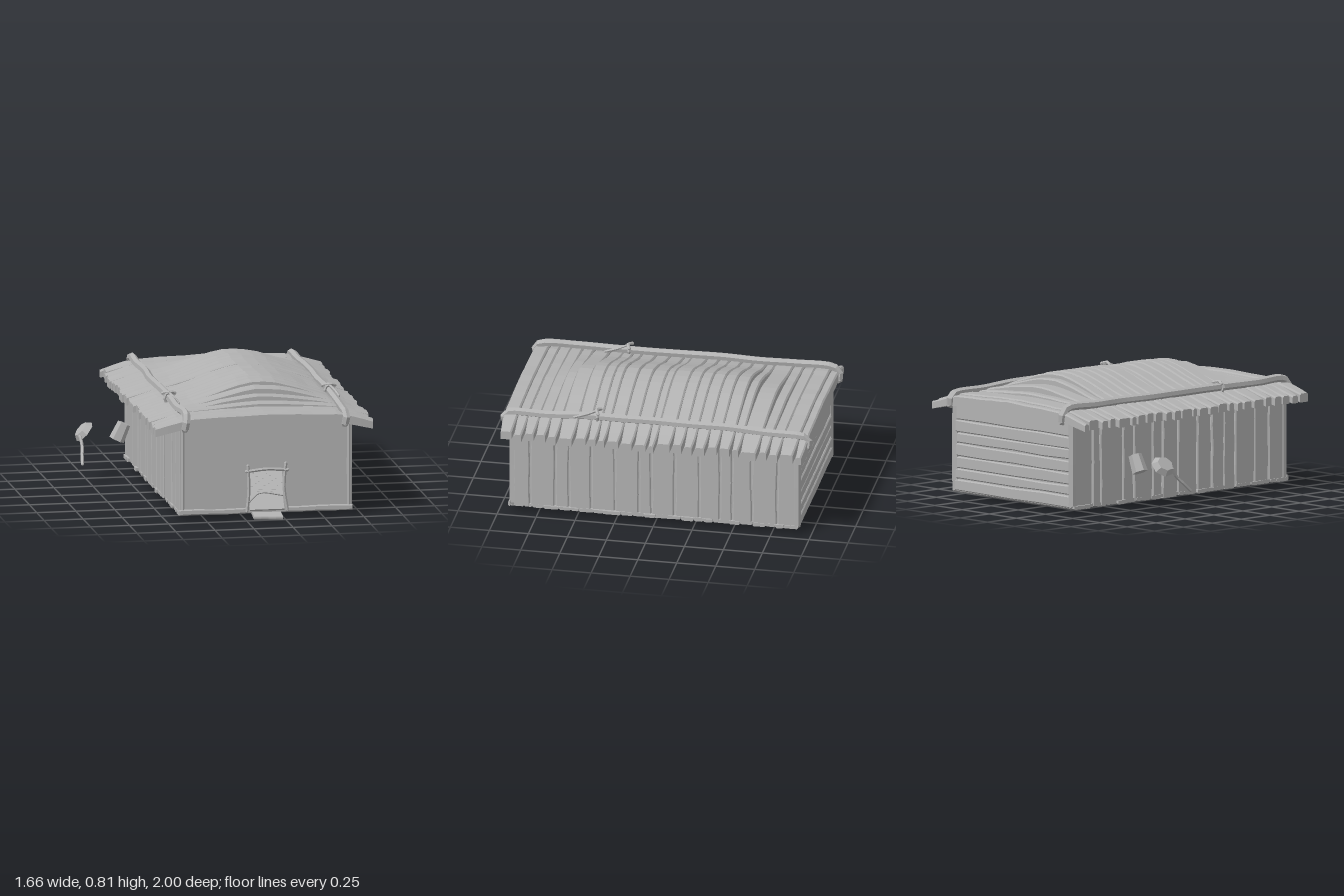
import * as THREE from 'three';

const V = (x, y, z) => new THREE.Vector3(x, y, z);

export function createModel() {
  const hut = new THREE.Group();
  hut.name = 'hut';
  const wood = new THREE.MeshStandardMaterial({ color: 0xb2b2b2, flatShading: true });
  wood.name = 'weathered grey';

  let seed = 11;
  const rnd = () => (seed = (seed * 16807) % 2147483647) / 2147483647;
  const jit = (a) => (rnd() * 2 - 1) * a;

  const add = (name, geo, parent = hut) => {
    const m = new THREE.Mesh(geo, wood);
    m.name = name;
    parent.add(m);
    return m;
  };
  const group = (name) => {
    const g = new THREE.Group();
    g.name = name;
    hut.add(g);
    return g;
  };

  // Closed solid from a row of equal cross-sections, going along +x
  const loft = (rings) => {
    const n = rings[0].length, idx = [];
    const pos = rings.flat().flatMap((p) => [p.x, p.y, p.z]);
    for (let i = 0; i < rings.length - 1; i++)
      for (let k = 0; k < n; k++) {
        const a = i * n + k, b = i * n + ((k + 1) % n);
        idx.push(a, a + n, b + n, a, b + n, b);
      }
    const last = (rings.length - 1) * n;
    for (let k = 1; k < n - 1; k++) idx.push(0, k, k + 1, last, last + k + 1, last + k);
    const g = new THREE.BufferGeometry();
    g.setAttribute('position', new THREE.Float32BufferAttribute(pos, 3));
    g.setIndex(idx);
    g.computeVertexNormals();
    return g;
  };
  // Plank section with worn upper edges
  const section = (x, bot, top, z0, z1, c) => [
    V(x, bot, z0), V(x, bot, z1), V(x, top - c, z1),
    V(x, top, z1 - c), V(x, top, z0 + c), V(x, top - c, z0),
  ];
  // Plank along x whose worn face is up
  const board = (len, w, t, wobble = 0.004) => {
    const rings = [];
    for (let i = 0; i <= 4; i++)
      rings.push(section((i / 4 - 0.5) * len, 0, t, -w / 2 + jit(wobble), w / 2 + jit(wobble), 0.007));
    return loft(rings);
  };
  // Uneven division of a span
  const split = (a, b, n) => {
    const cuts = [a];
    for (let i = 1; i < n; i++) cuts.push(a + ((b - a) * (i + jit(0.3))) / n);
    return [...cuts, b];
  };
  const stick = (points, r, sides = 6, steps = 12) => {
    const curve = new THREE.CatmullRomCurve3(points);
    const g = new THREE.TubeGeometry(curve, steps, r, sides);
    const ends = [0, 1].map((u) => {
      const e = add('stickEnd', new THREE.IcosahedronGeometry(r, 0));
      e.position.copy(curve.getPoint(u));
      hut.remove(e);
      return e;
    });
    const m = new THREE.Mesh(g, wood);
    m.add(...ends);
    return m;
  };
  const putStick = (name, parent, ...args) => {
    const m = stick(...args);
    m.name = name;
    parent.add(m);
  };

  // Roof: planks across x, swelling into a dome in the middle
  const roof = group('roof');
  const roofTop = (x, z) => {
    const s = Math.abs(x - 0.125);
    const base = s > 0.5 ? 0.665 - (s - 0.5) * 0.29 : 0.665 + (0.5 - s) * 0.035;
    const d = Math.min(Math.abs(x - 0.19) / 0.6, 1);
    const g = 1 - THREE.MathUtils.smoothstep(Math.abs(z), 0.42, 0.8);
    return base + 0.122 * Math.cos((d * Math.PI) / 2) ** 2 * g;
  };
  const roofBottom = (x) => 0.595 - Math.max(0, Math.abs(x - 0.125) - 0.53) * 0.24;
  const roofCuts = split(-0.975, 0.975, 25);
  for (let i = 0; i < 25; i++) {
    const z0 = roofCuts[i], z1 = roofCuts[i + 1], zc = (z0 + z1) / 2;
    const xa = -0.57 + jit(0.014), xb = 0.822 + jit(0.014), lift = jit(0.005);
    const rings = [];
    for (let k = 0; k <= 18; k++) {
      const x = xa + ((xb - xa) * k) / 18;
      const pinch = k === 0 || k === 18 ? 0.011 : k < 2 || k > 16 ? 0.005 : 0.0012;
      rings.push(section(x, roofBottom(x), roofTop(x, zc) + lift + jit(0.002),
        z0 + pinch, z1 - pinch, 0.009));
    }
    add('roofPlank', loft(rings), roof);
  }

  // Long poles holding the roof down, bent over both ends
  for (const [x, h] of [[-0.38, 0.02], [0.645, 0.01]]) {
    const pts = [V(x - 0.01, 0.6, 0.968), V(x, 0.655, 0.972)];
    for (let i = 0; i <= 8; i++) {
      const z = 0.93 - (i / 8) * 1.86;
      pts.push(V(x + jit(0.008), roofTop(x, z) + h, z));
    }
    pts.push(V(x, 0.655, -0.972), V(x + 0.008, 0.6, -0.972));
    putStick('roofPole', roof, pts, 0.026, 6, 48);
    // Rope knot
    const ky = roofTop(x, 0.38) + 0.03;
    const knot = add('poleKnot', new THREE.TorusGeometry(0.033, 0.01, 5, 8), roof);
    knot.position.set(x, ky - 0.012, 0.38);
    knot.rotation.y = 0.3;
    putStick('ropeTail', roof, [V(x - 0.04, ky + 0.015, 0.36), V(x, ky + 0.025, 0.38),
      V(x + 0.04, ky + 0.015, 0.365)], 0.011, 5, 6);
    putStick('ropeTail', roof, [V(x, ky + 0.02, 0.38), V(x + 0.022, ky, 0.44),
      V(x + 0.035, ky - 0.022, 0.52)], 0.009, 5, 6);
  }

  // Front wall with doorway
  const wall = new THREE.Shape([[-0.41, 0.04], [0.68, 0.04], [0.685, 0.605], [-0.415, 0.605]]
    .map(([x, y]) => new THREE.Vector2(x, y)));
  wall.holes.push(new THREE.Path([[0.03, 0.06], [0.035, 0.3], [0.14, 0.31], [0.245, 0.3], [0.255, 0.06]]
    .map(([x, y]) => new THREE.Vector2(x, y))));
  add('frontWall', new THREE.ExtrudeGeometry(wall, { depth: 0.03, bevelEnabled: false }))
    .position.z = 0.9;
  for (const [a, b] of [[-0.42, 0.02], [0.26, 0.69]]) {
    const sill = add('frontBaseBoard', board(b - a, 0.035, 0.012, 0.003).rotateX(Math.PI / 2));
    sill.position.set((a + b) / 2, 0.055, 0.928);
  }

  // Backing walls behind the planks
  const box = (name, w, h, d, x, y, z) =>
    add(name, new THREE.BoxGeometry(w, h, d)).position.set(x, y, z);
  box('leftWallCore', 0.015, 0.55, 1.8, 0.665, 0.32, 0);
  box('rightWallCore', 0.015, 0.55, 1.8, -0.395, 0.32, 0);
  box('backWallCore', 1.06, 0.55, 0.015, 0.135, 0.32, -0.9);

  // Upright planks on both long sides
  const toLeft = new THREE.Matrix4().makeBasis(V(0, 1, 0), V(1, 0, 0), V(0, 0, -1));
  const toRight = new THREE.Matrix4().makeRotationZ(Math.PI / 2);
  for (const [name, mat, x] of [['leftWall', toLeft, 0.67], ['rightWall', toRight, -0.4]]) {
    const side = group(name);
    const cuts = split(-0.91, 0.91, 14);
    for (let i = 0; i < 14; i++) {
      const w = cuts[i + 1] - cuts[i] - 0.008;
      const p = add('wallPlank', board(0.56, w, 0.016 + jit(0.006)).applyMatrix4(mat), side);
      p.position.set(x, 0.32 + jit(0.006), (cuts[i] + cuts[i + 1]) / 2);
    }
  }

  // Level planks on the back
  const back = group('backWall');
  const backCuts = split(0.045, 0.6, 7);
  for (let i = 0; i < 7; i++) {
    const w = backCuts[i + 1] - backCuts[i] - 0.006;
    const p = add('backPlank', board(1.07 + jit(0.01), w, 0.018 + jit(0.005)).rotateX(-Math.PI / 2), back);
    p.position.set(0.135, (backCuts[i] + backCuts[i + 1]) / 2, -0.905);
  }

  // Corner posts
  for (const x of [-0.397, 0.667])
    for (const z of [-0.908, 0.912])
      putStick('cornerPost', hut, [V(x, 0.06, z), V(x + jit(0.004), 0.3, z), V(x, 0.59, z)], 0.025, 6, 4);

  // Floor planks with ragged ends
  const floor = group('floor');
  const floorCuts = split(-0.92, 0.93, 24);
  for (let i = 0; i < 24; i++) {
    const w = floorCuts[i + 1] - floorCuts[i] - 0.002;
    const p = add('floorPlank', board(1.11 + jit(0.015), w, 0.022 + jit(0.003), 0.002).rotateX(Math.PI), floor);
    p.position.set(0.135 + jit(0.006), 0.06, (floorCuts[i] + floorCuts[i + 1]) / 2);
  }

  // Doorway: crooked frame sticks, sloping threshold and a small step
  const door = group('doorway');
  const frame = [
    [V(0.012, 0.05, 0.94), V(0.025, 0.18, 0.937), V(0.02, 0.34, 0.934)],
    [V(0.272, 0.05, 0.94), V(0.25, 0.2, 0.937), V(0.262, 0.35, 0.934)],
    [V(0.01, 0.305, 0.936), V(0.14, 0.318, 0.938), V(0.275, 0.308, 0.936)],
    [V(0.02, 0.1, 0.938), V(0.09, 0.165, 0.935), V(0.25, 0.145, 0.938)],
  ];
  frame.forEach((pts, i) => putStick('doorStick', door, pts, i === 3 ? 0.006 : 0.011, 5, 6));
  const threshold = add('threshold', new THREE.BoxGeometry(0.22, 0.015, 0.11), door);
  threshold.position.set(0.142, 0.095, 0.905);
  threshold.rotation.x = 0.8;
  const step = add('doorStep', board(0.185, 0.12, 0.02), door);
  step.position.set(0.14, 0.018, 0.935);
  step.rotation.set(0.22, 0, -0.03);

  // Loose block hanging beside the hut
  const block = add('hangingBlock', new THREE.CylinderGeometry(0.042, 0.05, 0.115, 6));
  block.position.set(-0.533, 0.3, -0.47);
  block.rotation.set(0.15, 0.3, -0.45);

  // Flat faceted paddle with a crooked tail
  const paddle = group('paddle');
  const blade = add('paddleBlade', new THREE.CylinderGeometry(0.055, 0.08, 0.036, 7), paddle);
  blade.scale.set(0.95, 1, 1.05);
  blade.position.set(-0.775, 0.315, -0.47);
  blade.rotation.z = 0.86;
  putStick('paddleTail', paddle, [V(-0.8, 0.29, -0.42), V(-0.795, 0.235, -0.38),
    V(-0.805, 0.19, -0.33), V(-0.812, 0.14, -0.275)], 0.011, 5, 8);

  return hut;
}
